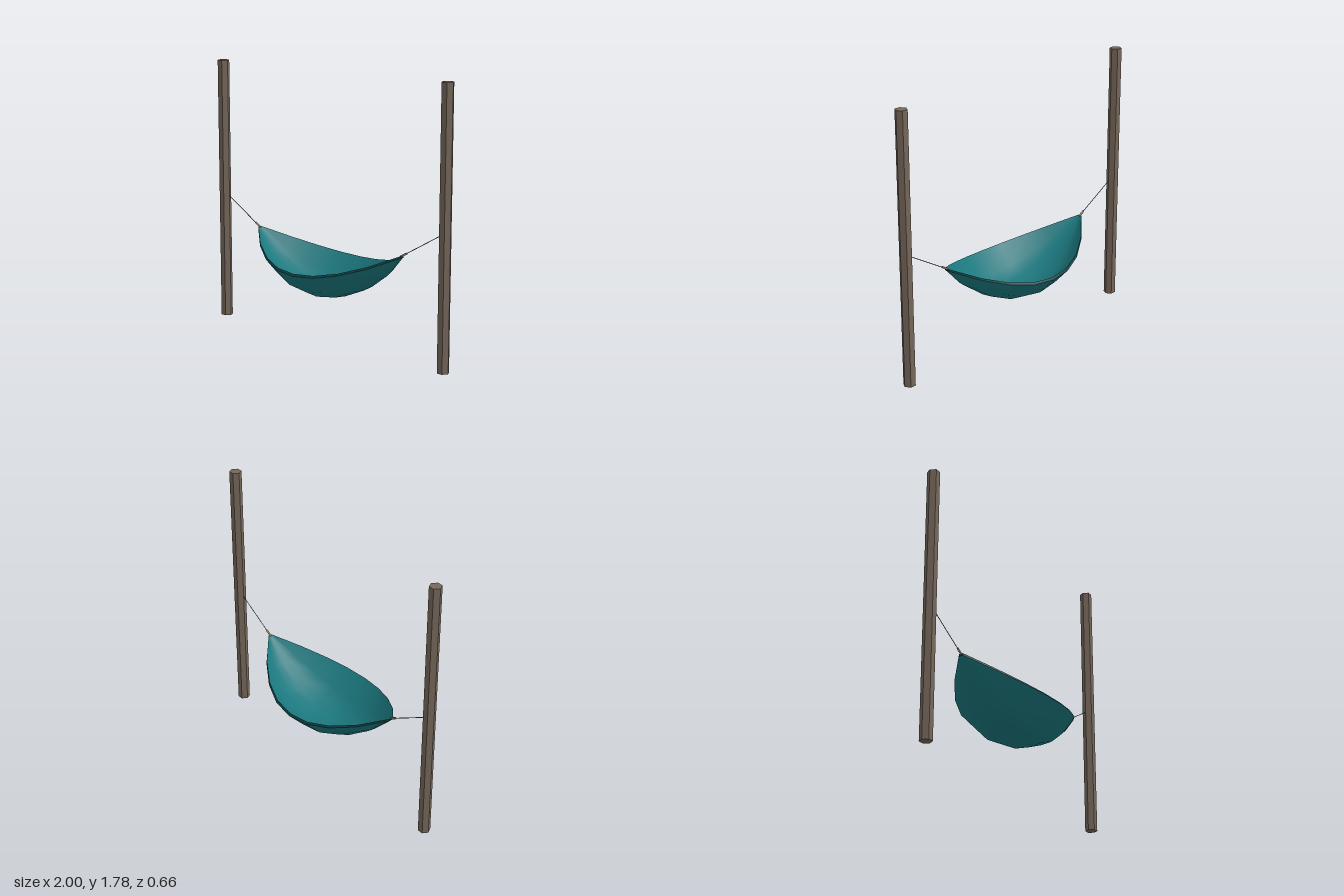
import * as THREE from 'three';

const wood = new THREE.MeshStandardMaterial({ name: 'wood', color: 0x75675a });
wood.flatShading = true;
const cloth = new THREE.MeshStandardMaterial({ name: 'teal cloth', color: 0x1b787e });
const hem = new THREE.MeshStandardMaterial({ name: 'dark teal hem', color: 0x12444a });
const cord = new THREE.MeshStandardMaterial({ name: 'cord', color: 0x7a6f62 });
const binding = new THREE.MeshStandardMaterial({ name: 'binding', color: 0x95866f });

const LENGTH = 0.625, THICK = 0.014;
// relative positions across the cloth, edge to edge
const ACROSS = [-1, -0.64, -0.32, 0, 0.32, 0.64, 1];

// point of the sling: t runs along x, s across z, both from -1 to 1;
// layer 0 is the underside, layer 1 the slightly narrower inside
function slingPoint(t, s, layer) {
  const z = s * (0.33 * (1 - t * t) + 0.014 * t * t) * (1 - 0.03 * layer);
  const depth = 0.19 * (1 - t * t);
  const y = 0.502 + 0.163 * t * t - depth * (1 - Math.abs(s) ** 2.4);
  return [t * LENGTH, y + layer * THICK, z];
}

// smooth grid surface facing along (u direction) x (v direction)
function grid(nu, nv, point) {
  const pos = [], idx = [];
  for (let i = 0; i <= nu; i++)
    for (let j = 0; j <= nv; j++) pos.push(...point(i, j));
  for (let i = 0; i < nu; i++)
    for (let j = 0; j < nv; j++) {
      const a = i * (nv + 1) + j, b = a + nv + 1;
      idx.push(a, b, b + 1, a, b + 1, a + 1);
    }
  const g = new THREE.BufferGeometry();
  g.setAttribute('position', new THREE.Float32BufferAttribute(pos, 3));
  g.setIndex(idx);
  g.computeVertexNormals();
  return g;
}

// thin cylinder between two points
function rod(name, from, to, radius, material) {
  const a = new THREE.Vector3(...from), b = new THREE.Vector3(...to);
  const mesh = new THREE.Mesh(new THREE.CylinderGeometry(radius, radius, a.distanceTo(b), 6), material);
  mesh.position.copy(a).add(b).multiplyScalar(0.5);
  mesh.quaternion.setFromUnitVectors(new THREE.Vector3(0, 1, 0), b.sub(a).normalize());
  mesh.name = name;
  return mesh;
}

export function createModel() {
  const model = new THREE.Group();
  model.name = 'hammock';

  // hanging cloth: underside, inside and the dark hem joining them
  const sling = new THREE.Group();
  sling.name = 'sling';
  const add = (name, geometry, material) => {
    const mesh = new THREE.Mesh(geometry, material);
    mesh.name = name;
    sling.add(mesh);
  };
  const t = i => i / 4 - 1;
  add('underside', grid(8, 6, (i, j) => slingPoint(t(i), ACROSS[j], 0)), cloth);
  add('inside', grid(8, 6, (i, j) => slingPoint(t(i), ACROSS[6 - j], 1)), cloth);
  for (const side of [1, -1]) {
    add(side > 0 ? 'frontHem' : 'backHem',
      grid(8, 1, (i, j) => slingPoint(side * t(i), side, j)), hem);
    add(side > 0 ? 'leftEnd' : 'rightEnd',
      grid(6, 1, (i, j) => slingPoint(side, -side * ACROSS[i], j)), hem);
  }
  model.add(sling);

  // posts, cords and bound cord ends, mirrored
  for (const side of [1, -1]) {
    const label = side > 0 ? 'left' : 'right';
    const post = new THREE.Mesh(new THREE.CylinderGeometry(0.04, 0.04, 1.782, 6), wood);
    post.rotation.y = Math.PI / 6;
    post.position.set(side * 0.96, 0.891, 0);
    post.name = label + 'Post';
    model.add(post);
    model.add(rod(label + 'Cord', [side * 0.62, 0.675, 0], [side * 0.93, 0.855, 0], 0.0025, cord));
    model.add(rod(label + 'Binding', [side * 0.617, 0.674, 0], [side * 0.662, 0.7, 0], 0.007, binding));
  }
  return model;
}
